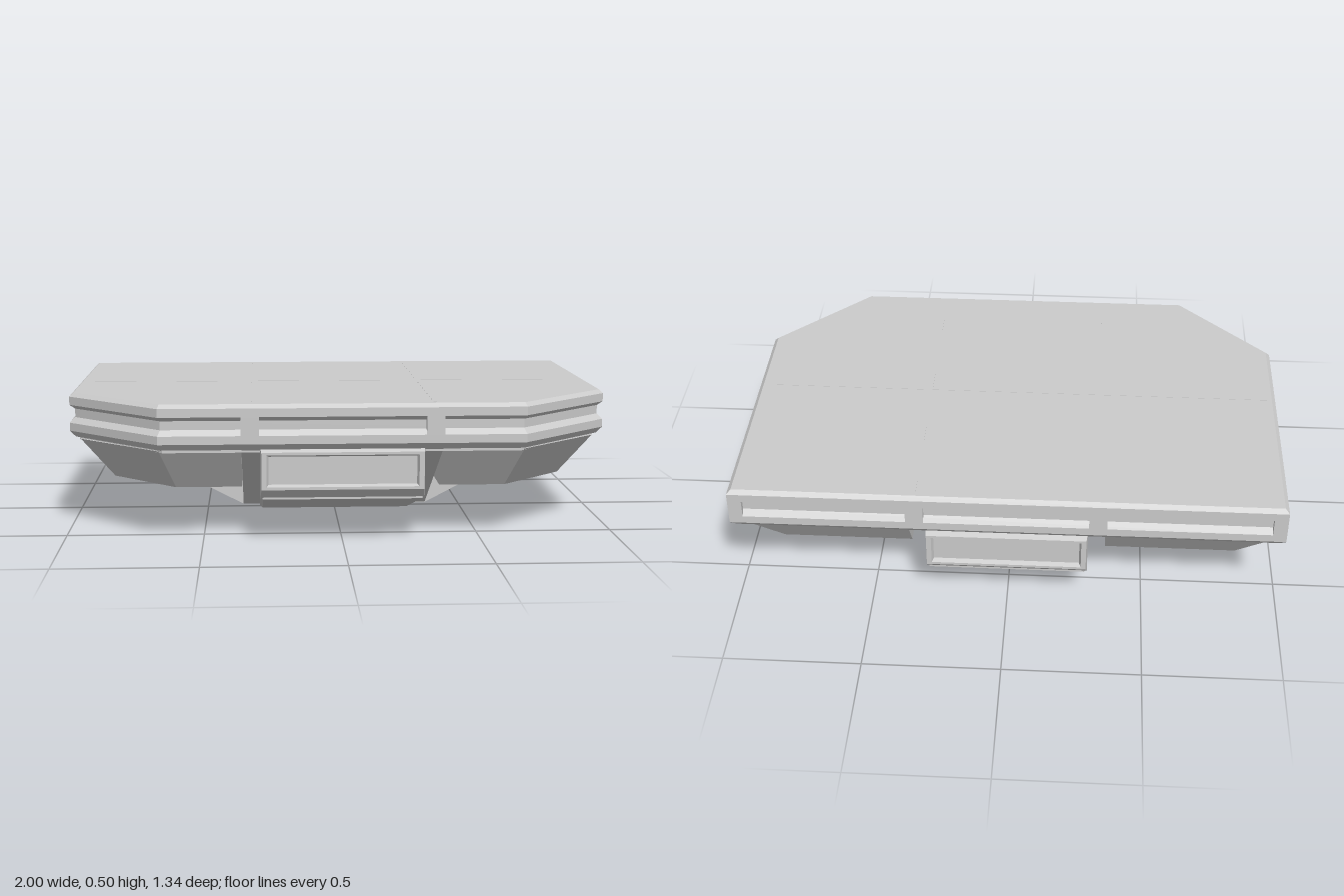
import * as THREE from 'three';

const material = new THREE.MeshStandardMaterial({ color: 0xcccccc, flatShading: true });

// Joins convex rings (clockwise seen from the end) into a closed, flat-sided solid
function loft(rings) {
  const pos = [];
  const tri = (...pts) => pts.forEach((p) => pos.push(...p));
  const n = rings[0].length;
  for (let r = 0; r < rings.length - 1; r++) {
    const lo = rings[r], up = rings[r + 1];
    for (let i = 0; i < n; i++) {
      const j = (i + 1) % n;
      tri(lo[i], up[i], up[j]);
      tri(lo[i], up[j], lo[j]);
    }
  }
  const first = rings[0], last = rings[rings.length - 1];
  for (let i = 1; i < n - 1; i++) {
    tri(first[0], first[i], first[i + 1]);
    tri(last[0], last[i + 1], last[i]);
  }
  const g = new THREE.BufferGeometry();
  g.setAttribute('position', new THREE.Float32BufferAttribute(pos, 3));
  g.computeVertexNormals();
  return g;
}

// Extrudes a profile, centred on its depth; the bevel stays inside the outline
function slab(points, width, bevel = 0) {
  const shape = new THREE.Shape(points.map(([a, b]) => new THREE.Vector2(a, b)));
  const g = new THREE.ExtrudeGeometry(shape, {
    depth: width - 2 * bevel, bevelEnabled: bevel > 0, bevelSegments: 1,
    bevelThickness: bevel, bevelSize: bevel, bevelOffset: -bevel,
  });
  return g.translate(0, 0, bevel - width / 2);
}

// Deck outline with two cut front corners, inset by i at height y
function deckRing(i, y) {
  const t = 0.414 * i;
  return [
    [-1 + i, y, -0.67 + i], [1 - i, y, -0.67 + i],
    [1 - i, y, 0.325 - t], [0.655 - t, y, 0.67 - i],
    [-0.655 + t, y, 0.67 - i], [-1 + i, y, 0.325 - t],
  ];
}

export function createModel() {
  const group = new THREE.Group();
  const add = (name, geometry, x = 0, y = 0, z = 0) => {
    const mesh = new THREE.Mesh(geometry, material);
    mesh.name = name;
    mesh.position.set(x, y, z);
    group.add(mesh);
    return mesh;
  };
  const box = (name, w, h, d, x, y, z) => add(name, new THREE.BoxGeometry(w, h, d), x, y, z);

  // Deck with bevelled rims and a groove running round its edge
  const deckProfile = [
    [0.035, 0.325], [0.035, 0.337], [0.02, 0.337], [0, 0.36], [0, 0.39],
    [0.02, 0.41], [0.02, 0.442], [0, 0.457], [0, 0.488], [0.015, 0.502],
  ];
  add('deck', loft(deckProfile.map(([i, y]) => deckRing(i, y))));

  // Posts that divide the groove
  const postY = 0.4235, postH = 0.067;
  for (const s of [-1, 1]) {
    for (const z of [-0.655, 0.655]) box('edgePost', 0.065, postH, 0.03, s * 0.33, postY, z);
    box('sidePost', 0.03, postH, 0.065, s * 0.985, postY, 0);
    box('cornerPost', 0.05, postH, 0.05, s * 0.975, postY, -0.645);
  }

  // Fine seams on the deck
  box('crossSeam', 1.94, 0.004, 0.016, 0, 0.501, 0);
  for (const s of [-1, 1]) box('lengthSeam', 0.012, 0.003, 1.26, s * 0.33, 0.501, 0);

  // Keel along the middle
  const keel = add('keel', slab([
    [-0.04, 0], [0.04, 0], [0.64, 0.155], [0.64, 0.345], [-0.64, 0.345], [-0.64, 0.155],
  ], 0.59, 0.01));
  keel.rotation.y = -Math.PI / 2;

  // Framed, recessed ends of the keel
  const endRing = (x, bottom, top, z) => [[-x, top, z], [x, top, z], [x, bottom, z], [-x, bottom, z]];
  for (const [name, turn] of [['frontKeelEnd', 0], ['backKeelEnd', Math.PI]]) {
    add(name, loft([
      endRing(0.295, 0.157, 0.345, 0.635), endRing(0.29, 0.195, 0.33, 0.672),
      endRing(0.272, 0.205, 0.32, 0.672), endRing(0.265, 0.212, 0.313, 0.655),
    ])).rotation.y = turn;
  }

  // Tapered ribs beside the keel and across it
  const rib = (inner, outer) => [[-inner, 0.015], [inner, 0.015], [outer, 0.335], [-outer, 0.335]];
  add('lengthRib', slab(rib(0.03, 0.64), 0.72)).rotation.y = -Math.PI / 2;
  add('crossRib', slab(rib(0.36, 0.975), 0.064));

  // Four tapered pods under the deck
  const backRing = (x0, x1, z0, z1, y) => [[x0, y, z0], [x1, y, z0], [x1, y, z1], [x0, y, z1]];
  const frontRing = (x, zc, xc, z, y) => [[0.36, y, 0.03], [x, y, 0.03], [x, y, zc], [xc, y, z], [0.36, y, z]];
  const backPod = [
    backRing(0.435, 0.765, -0.445, -0.105, 0.2), backRing(0.42, 0.78, -0.46, -0.09, 0.18),
    backRing(0.36, 0.84, -0.52, -0.03, 0.18), backRing(0.36, 0.96, -0.625, -0.03, 0.33),
  ];
  const frontPod = [frontRing(0.84, 0.28, 0.6, 0.52, 0.18), frontRing(0.96, 0.33, 0.655, 0.625, 0.33)];
  const mirror = (rings) => rings.map((r) => r.map(([x, y, z]) => [-x, y, z]).reverse());
  add('backLeftPod', loft(backPod));
  add('backRightPod', loft(mirror(backPod)));
  add('frontLeftPod', loft(frontPod));
  add('frontRightPod', loft(mirror(frontPod)));

  return group;
}
